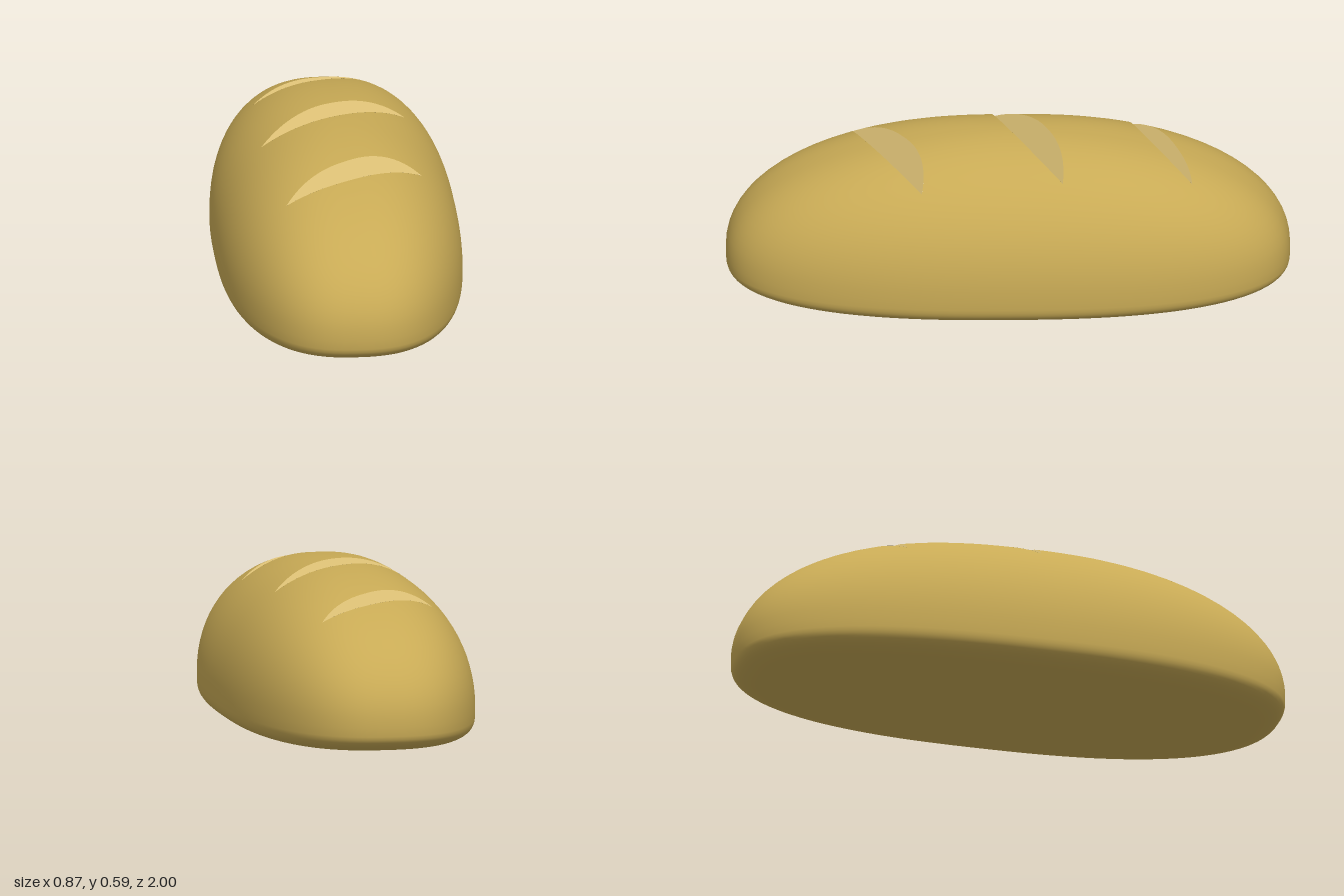
import * as THREE from 'three';
import { mergeVertices } from 'three/addons/utils/BufferGeometryUtils.js';

const HALF_W = 0.435, BELLY = 0.12, TOP = 0.47;   // loaf half width, widest height, rise above it
const PLAN = 2.5, DOME = 2.1, BASE = 4;           // roundness exponents
const WALL = 0.72;                                // outward run of a cut wall per unit of height

const spow = (v, e) => Math.sign(v) * Math.abs(v) ** e;

// Height of the crust above a ground point
function crustY(x, z) {
  const rho = (Math.abs(x / HALF_W) ** PLAN + Math.abs(z) ** PLAN) ** (1 / PLAN);
  return BELLY + TOP * Math.max(0, 1 - rho ** DOME) ** (1 / DOME);
}

// Closed smooth loaf: a lathed profile squared off into a long oval
function loafGeometry() {
  const profile = [];
  const n = 22;
  for (let i = n; i > 0; i--) {
    const a = (i / n) * Math.PI / 2;
    profile.push(new THREE.Vector2(Math.cos(a) ** (2 / BASE), BELLY - BELLY * Math.sin(a) ** (2 / BASE)));
  }
  for (let i = 0; i <= n; i++) {
    const a = (i / n) * Math.PI / 2;
    profile.push(new THREE.Vector2(Math.cos(a) ** (2 / DOME), BELLY + TOP * Math.sin(a) ** (2 / DOME)));
  }
  const lathe = new THREE.LatheGeometry(profile, 96);
  const p = lathe.attributes.position;
  for (let i = 0; i < p.count; i++) {
    const x = p.getX(i), z = p.getZ(i), r = Math.hypot(x, z);
    if (r < 1e-6) continue;
    p.setX(i, HALF_W * r * spow(x / r, 2 / PLAN));
    p.setZ(i, r * spow(z / r, 2 / PLAN));
  }
  lathe.deleteAttribute('uv');
  lathe.deleteAttribute('normal');
  const smooth = mergeVertices(lathe);
  smooth.computeVertexNormals();
  return smooth.toNonIndexed();
}

// A V-shaped score whose valley runs straight between two points on the crust
function makeCut([x0, z0, x1, z1]) {
  const a = new THREE.Vector3(x0, crustY(x0, z0), z0);
  const b = new THREE.Vector3(x1, crustY(x1, z1), z1);
  const len = Math.hypot(x1 - x0, z1 - z0);
  const ux = (x1 - x0) / len, uz = (z1 - z0) / len;
  const across = new THREE.Vector3(-uz, 0, ux);
  // positive when a point lies above the wall on the given side
  const above = (side) => (q) => {
    const dx = q[0] - x0, dz = q[2] - z0;
    const valley = a.y + (b.y - a.y) * (dx * ux + dz * uz) / len;
    return q[1] - valley - side * (dx * across.x + dz * across.z) / WALL;
  };
  return { a, b, across, above };
}

// Keep the part of a convex polygon where f >= 0
function clip(poly, f) {
  const out = [];
  poly.forEach((p, i) => {
    const q = poly[(i + 1) % poly.length], fp = f(p), fq = f(q);
    if (fp >= 0) out.push(p);
    if ((fp >= 0) !== (fq >= 0)) {
      const t = fp / (fp - fq);
      out.push(p.map((v, k) => v + (q[k] - v) * t));
    }
  });
  return out;
}

// Remove the scored areas from the crust
function scoredCrust(cuts) {
  const src = loafGeometry(), p = src.attributes.position, nor = src.attributes.normal;
  let polys = [];
  for (let i = 0; i < p.count; i += 3) {
    polys.push([i, i + 1, i + 2].map((j) =>
      [p.getX(j), p.getY(j), p.getZ(j), nor.getX(j), nor.getY(j), nor.getZ(j)]));
  }
  for (const cut of cuts) {
    const f = cut.above(1), g = cut.above(-1);
    polys = polys.flatMap((poly) => {
      if (!poly.some((v) => f(v) > 0) || !poly.some((v) => g(v) > 0)) return [poly];
      return [clip(poly, (v) => -f(v)), clip(clip(poly, f), (v) => -g(v))].filter((k) => k.length > 2);
    });
  }
  const pos = [], normals = [];
  for (const poly of polys) {
    for (let i = 1; i < poly.length - 1; i++) {
      for (const v of [poly[0], poly[i], poly[i + 1]]) {
        pos.push(v[0], v[1], v[2]);
        normals.push(v[3], v[4], v[5]);
      }
    }
  }
  const geo = new THREE.BufferGeometry();
  geo.setAttribute('position', new THREE.Float32BufferAttribute(pos, 3));
  geo.setAttribute('normal', new THREE.Float32BufferAttribute(normals, 3));
  return geo;
}

// One flat wall, from the valley up to where it meets the crust
function wallGeometry(cut, side) {
  const steps = 32, pos = [], index = [];
  const up = cut.across.clone().multiplyScalar(side * WALL).setY(1);
  for (let i = 0; i <= steps; i++) {
    const foot = cut.a.clone().lerp(cut.b, i / steps);
    let lo = 0, hi = 0.3;
    for (let k = 0; k < 30; k++) {
      const mid = (lo + hi) / 2, q = foot.clone().addScaledVector(up, mid);
      if (q.y < crustY(q.x, q.z)) lo = mid; else hi = mid;
    }
    const lip = foot.clone().addScaledVector(up, lo);
    pos.push(...foot.toArray(), ...lip.toArray());
    if (i === steps) break;
    const j = i * 2;
    if (side > 0) index.push(j, j + 1, j + 2, j + 1, j + 3, j + 2);
    else index.push(j, j + 2, j + 1, j + 1, j + 2, j + 3);
  }
  const geo = new THREE.BufferGeometry();
  geo.setAttribute('position', new THREE.Float32BufferAttribute(pos, 3));
  geo.setIndex(index);
  const flat = geo.toNonIndexed();
  flat.computeVertexNormals();
  return flat;
}

export function createModel() {
  const group = new THREE.Group();
  group.name = 'breadLoaf';
  const crustMat = new THREE.MeshStandardMaterial({ color: 0xc8aa55 });
  const crumbMat = new THREE.MeshStandardMaterial({ color: 0xdcc075, side: THREE.DoubleSide });

  // valley ends of each score: x, z to x, z
  const cuts = [
    [-0.22, 0.55, 0.28, 0.31],
    [-0.27, 0.05, 0.26, -0.19],
    [-0.26, -0.44, 0.18, -0.65],
  ].map(makeCut);

  const crust = new THREE.Mesh(scoredCrust(cuts), crustMat);
  crust.name = 'crust';
  group.add(crust);

  cuts.forEach((cut, i) => {
    const score = new THREE.Group();
    score.name = `score${i + 1}`;
    for (const side of [1, -1]) {
      const wall = new THREE.Mesh(wallGeometry(cut, side), crumbMat);
      wall.name = side > 0 ? 'frontWall' : 'backWall';
      score.add(wall);
    }
    group.add(score);
  });
  return group;
}
